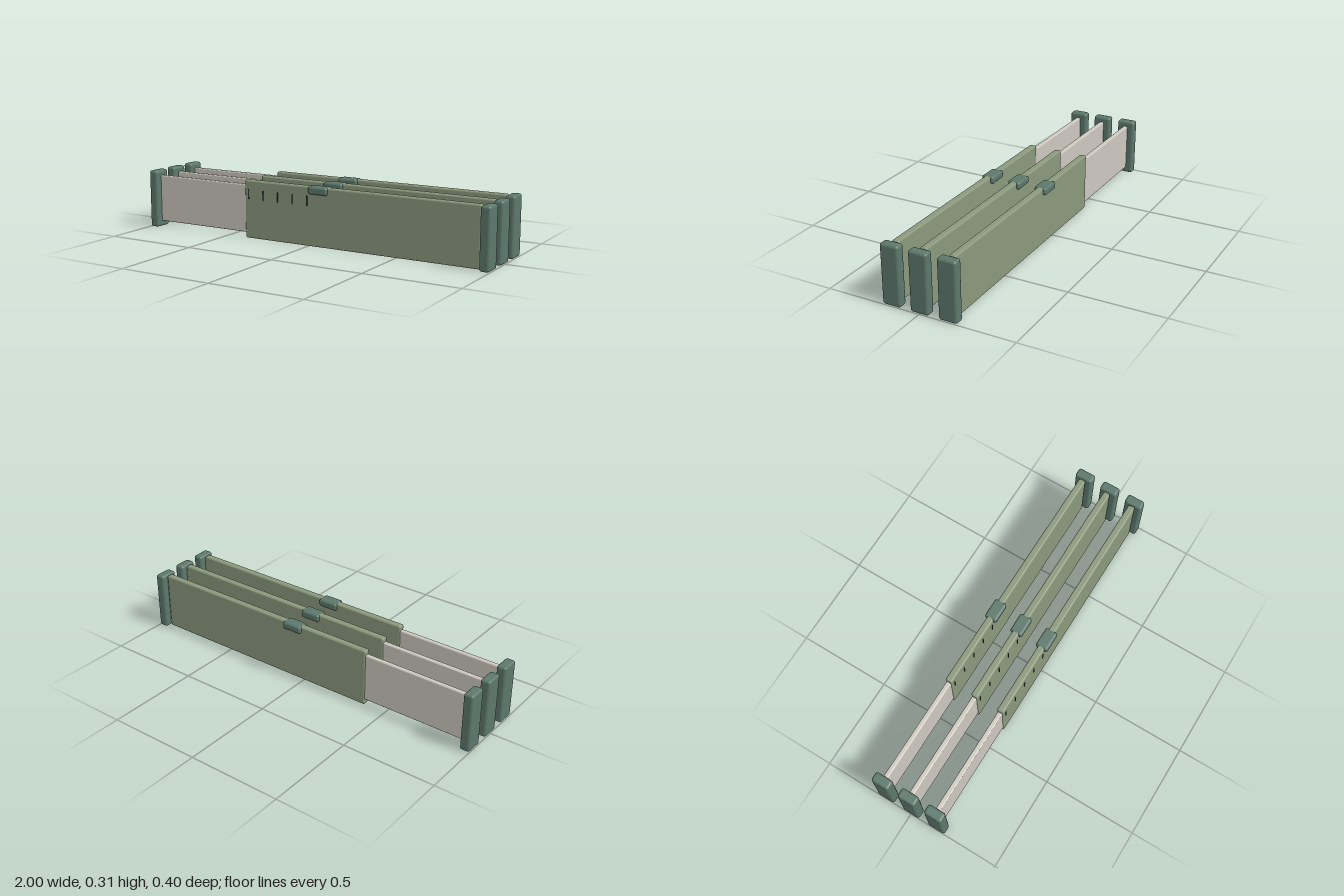
import * as THREE from 'three';
import { RoundedBoxGeometry } from 'three/addons/geometries/RoundedBoxGeometry.js';

const material = (name, color) => {
  const m = new THREE.MeshStandardMaterial({ color });
  m.name = name;
  return m;
};

export function createModel() {
  const sage = material('sage green', 0x8a987c);
  const cream = material('warm grey', 0xccc7be);
  const teal = material('dark teal', 0x5c776c);
  const ink = material('ink', 0x2c3833);

  // Rounded box given by its x and y extents and its depth
  const slab = (name, mat, x0, x1, y0, y1, depth, radius) => {
    const mesh = new THREE.Mesh(new RoundedBoxGeometry(x1 - x0, y1 - y0, depth, 3, radius), mat);
    mesh.position.set((x0 + x1) / 2, (y0 + y1) / 2, 0);
    mesh.name = name;
    return mesh;
  };

  // One extending drawer divider
  const createDivider = () => {
    const divider = new THREE.Group();
    divider.add(
      slab('outerPanel', sage, -0.382, 0.944, 0.002, 0.31, 0.037, 0.009),
      slab('slidingPanel', cream, -0.952, 0, 0.03, 0.285, 0.026, 0.007),
      slab('leftEndPad', teal, 0.948, 1, 0, 0.312, 0.098, 0.013),
      slab('rightEndPad', teal, -1, -0.948, 0, 0.312, 0.098, 0.013),
      slab('latch', teal, 0.01, 0.12, 0.272, 0.312, 0.067, 0.012)
    );
    // Thin end lands joining the panels to the pads
    divider.add(slab('padJoint', sage, 0.92, 0.955, 0.012, 0.3, 0.024, 0.005));
    // Length marks on the front face
    for (let i = 0; i < 5; i++) {
      const mark = new THREE.Mesh(new THREE.BoxGeometry(0.005, 0.052, 0.004), ink);
      mark.position.set(-0.358 + i * 0.0892, 0.236, 0.0195);
      mark.name = 'lengthMark';
      divider.add(mark);
    }
    return divider;
  };

  const model = new THREE.Group();
  model.name = 'drawerDividers';
  ['back', 'middle', 'front'].forEach((place, i) => {
    const divider = createDivider();
    divider.name = place + 'Divider';
    divider.position.z = (i - 1) * 0.151;
    model.add(divider);
  });
  return model;
}
